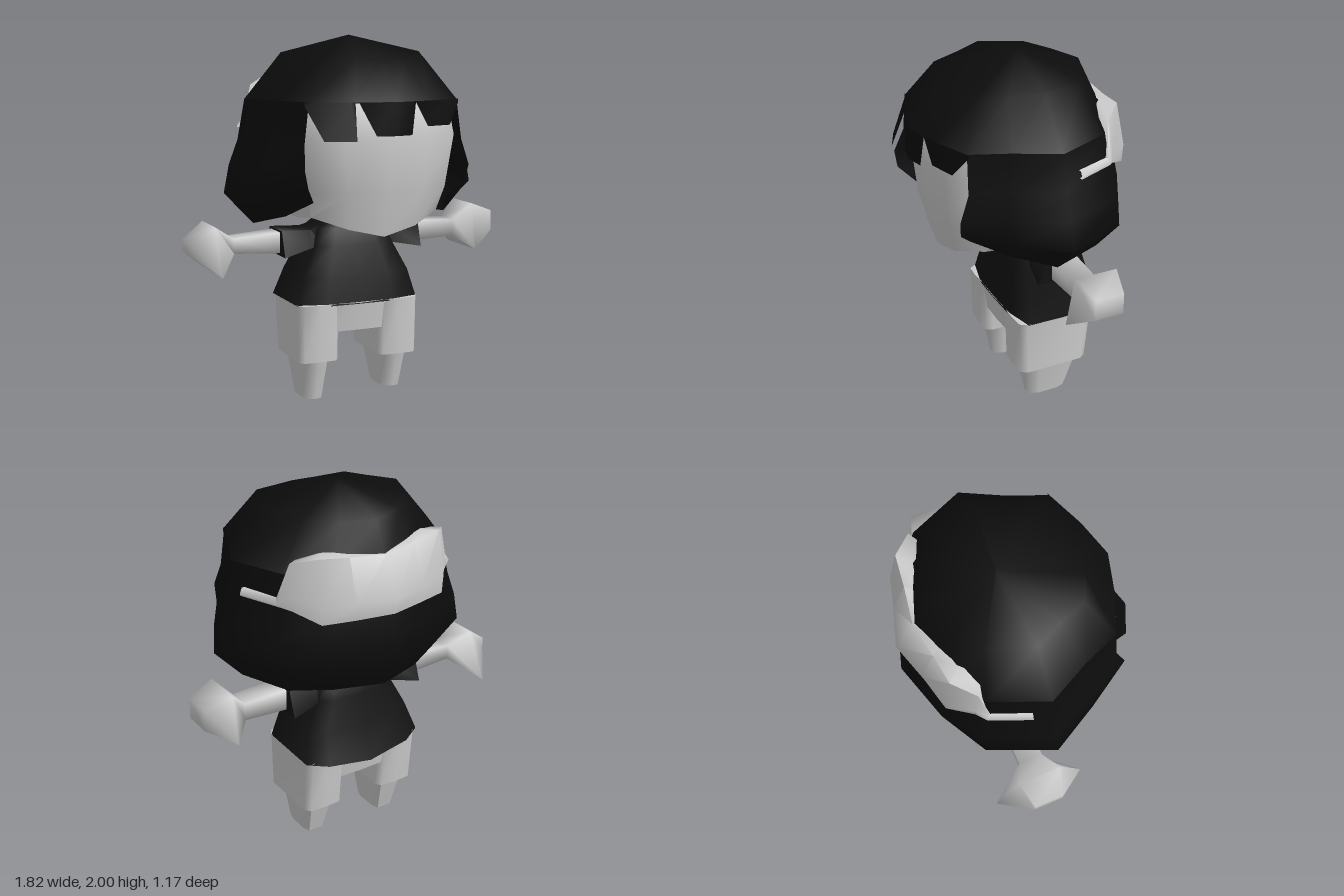
import * as THREE from 'three';
import { toCreasedNormals } from 'three/addons/utils/BufferGeometryUtils.js';

const skin = new THREE.MeshStandardMaterial({ color: 0xcccccc });
const hairMat = new THREE.MeshStandardMaterial({ color: 0x0c0c0c, side: THREE.DoubleSide });
const shirtMat = new THREE.MeshStandardMaterial({ color: 0x121212, side: THREE.DoubleSide });
const bowMat = new THREE.MeshStandardMaterial({ color: 0xcccccc, side: THREE.DoubleSide });

// Joins cross-sections into a skin; closed rings are capped at both ends
function loft(rings, { closed = true, crease = 1.0 } = {}) {
  const n = rings[0].length, pos = rings.flat(2), idx = [];
  const cols = closed ? n : n - 1;
  for (let i = 0; i < rings.length - 1; i++) {
    for (let j = 0; j < cols; j++) {
      const a = i * n + j, b = i * n + (j + 1) % n;
      idx.push(a, b, b + n, a, b + n, a + n);
    }
  }
  if (closed) {
    [0, rings.length - 1].forEach((r, end) => {
      const mid = [0, 1, 2].map(k => rings[r].reduce((s, p) => s + p[k], 0) / n);
      const c = pos.length / 3;
      pos.push(...mid);
      for (let j = 0; j < n; j++) {
        const a = r * n + j, b = r * n + (j + 1) % n;
        end ? idx.push(a, b, c) : idx.push(b, a, c);
      }
    });
  }
  const g = new THREE.BufferGeometry();
  g.setAttribute('position', new THREE.Float32BufferAttribute(pos, 3));
  g.setIndex(idx);
  return toCreasedNormals(g, crease);
}

// Mirrors a half outline (front to back) into a full horizontal ring
function ring(half, y, X, F, B, cx = 0, cz = 0) {
  const pts = half.map(([u, v], i) =>
    [u * X, Array.isArray(y) ? y[i] : y, cz + v * (v > 0 ? F : B)]);
  const other = pts.slice(1, -1).reverse().map(p => [-p[0], p[1], p[2]]);
  return [...pts, ...other].map(p => [p[0] + cx, p[1], p[2]]);
}

// Four-cornered section across an arm
const section = (x, top, bottom, zt, zb = zt, cz = -0.12) =>
  [[x, top, cz - zt], [x, top, cz + zt], [x, bottom, cz + zb], [x, bottom, cz - zb]];

export function createModel() {
  const model = new THREE.Group();
  const add = (name, geometry, material) => {
    const m = new THREE.Mesh(geometry, material);
    m.name = name;
    model.add(m);
    return m;
  };

  // Head with pointed chin
  const headHalf = [[0, 1], [0.5, 0.95], [0.92, 0.74], [1, 0.3], [0.8, -0.7], [0, -1]];
  const jawHalf = [[0, 1], [0.5, 0.95], [0.95, 0.72], [0.92, 0.2], [0.9, -0.7], [0, -1]];
  add('head', loft([
    ring(jawHalf, [0.965, 1.01, 1.07, 1.04, 1.03, 1.03], 0.38, 0.43, 0.44),
    ring(headHalf, 1.2, 0.425, 0.475, 0.45),
    ring(headHalf, 1.48, 0.47, 0.5, 0.42),
    ring(headHalf, 1.67, 0.44, 0.46, 0.38),
    ring(headHalf, 1.76, 0.3, 0.33, 0.28),
  ]), skin);
  add('neck', new THREE.CylinderGeometry(0.1, 0.11, 0.2, 8), skin).position.set(0.01, 1.02, -0.12);

  // Hair: crown over the full circle, sides and back left open at the face
  const hairHalf = [[0, 1], [0.34, 0.9], [0.68, 0.75], [0.81, 0.4], [1, 0],
    [0.8, -0.59], [0.45, -0.83], [0, -1]];
  const brow = ring(hairHalf, 1.67, 0.61, 0.57, 0.5);
  add('hairCrown', loft([
    brow,
    ring(hairHalf, [1.86, 1.87, 1.89, 1.9, 1.91, 1.9, 1.89, 1.89], 0.405, 0.41, 0.4),
    ring(hairHalf, 2, 0.002, 0.002, 0.002, 0, -0.04),
  ], { crease: 1.2 }), hairMat);
  const sides = [
    ring(hairHalf, [1, 1, 1.16, 1.07, 1.01, 1.01, 1.01, 1.01], 0.57, 0.53, 0.49),
    ring(hairHalf, [1, 1, 1.24, 1.21, 1.18, 1.18, 1.18, 1.18], 0.73, 0.64, 0.59),
    ring(hairHalf, 1.33, 0.7, 0.65, 0.58),
    ring(hairHalf, 1.46, 0.65, 0.58, 0.555),
    brow,
  ].map(r => r.slice(2, 13));
  // front edges of the side locks hug the cheeks
  for (const [row, x] of [[0, 0.38], [1, 0.44], [2, 0.46]]) {
    sides[row][0][0] = x;
    sides[row].at(-1)[0] = -x;
  }
  add('hairSides', loft(sides, { closed: false, crease: 1.2 }), hairMat);

  // Jagged fringe hanging from the brow line: x, y, z of its lower edge
  const teeth = [[-0.435, 1.65, 0.42], [-0.37, 1.48, 0.52], [-0.22, 1.48, 0.585], [-0.2, 1.665, 0.515],
    [-0.18, 1.665, 0.52], [-0.1, 1.5, 0.555], [0, 1.5, 0.575], [0.1, 1.5, 0.55], [0.125, 1.665, 0.535],
    [0.2, 1.54, 0.525], [0.35, 1.54, 0.48], [0.425, 1.65, 0.425]];
  const browZ = x => {
    const a = Math.abs(x);
    return a < 0.207 ? 0.57 - a * 0.275 : 0.513 - (a - 0.207) * 0.41;
  };
  add('fringe', loft([
    teeth,
    teeth.map(([x]) => [x, 1.67, browZ(x)]),
  ], { closed: false }), hairMat);

  // Bow across the back of the hair, with thin ribbon ends: x, z, top, bottom
  const bowHalf = [[0.62, -0.1, 1.555, 1.515], [0.535, -0.31, 1.55, 1.515], [0.475, -0.35, 1.73, 1.49],
    [0.37, -0.47, 1.765, 1.43], [0.2, -0.51, 1.745, 1.43], [0, -0.565, 1.73, 1.44]];
  const bow = [...bowHalf, ...bowHalf.slice(0, -1).reverse().map(p => [-p[0], ...p.slice(1)])];
  const bowRow = (t, s, out) => bow.map(([x, z, top, bottom]) =>
    [x * s, bottom + (top - bottom) * t, z * s - out * (1 - Math.abs(x) / 0.62)]);
  add('bow', loft([
    bowRow(0, 0.85, 0), bowRow(0, 1, 0.005), bowRow(0.28, 1, 0.025),
    bowRow(1, 0.98, -0.07), bowRow(1, 0.78, 0),
  ], { closed: false, crease: 1.2 }), bowMat);

  // Shirt: squarish at the hem, which dips at the back
  const bodyHalf = [[0, 1], [0.55, 0.98], [0.98, 0.8], [1, -0.7], [0.7, -0.92], [0, -1]];
  const body = (y, X, F, B) => ring(bodyHalf, y, X, F, B, 0.012, -0.12);
  add('shirt', loft([
    body([0.54, 0.54, 0.545, 0.545, 0.53, 0.5], 0.362, 0.23, 0.28),
    body(0.7, 0.318, 0.2, 0.2),
    body(0.86, 0.235, 0.16, 0.17),
    body(0.95, 0.205, 0.13, 0.14),
    body(1.02, 0.125, 0.09, 0.09),
  ], { crease: 1.4 }), shirtMat);
  add('leftSleeve', loft([section(0.13, 0.98, 0.82, 0.07), section(0.25, 0.95, 0.85, 0.09, 0.12),
    section(0.415, 0.975, 0.82, 0.1, 0.15)], { crease: 1.4 }), shirtMat);
  add('rightSleeve', loft([section(-0.4, 0.95, 0.81, 0.1, 0.15), section(-0.23, 0.945, 0.85, 0.09, 0.12),
    section(-0.12, 0.98, 0.82, 0.07)], { crease: 1.4 }), shirtMat);

  // Arms flowing into soft-shaded angular hands
  add('leftArm', loft([
    section(0.25, 0.94, 0.86, 0.06), section(0.41, 0.955, 0.84, 0.07), section(0.66, 0.945, 0.85, 0.065),
    section(0.755, 1.04, 0.78, 0.12, 0.165), section(0.905, 0.985, 0.87, 0.08),
  ], { crease: 1.8 }), skin);
  add('rightArm', loft([
    section(-0.91, 0.91, 0.85, 0.08), section(-0.78, 1.0, 0.75, 0.12, 0.25), section(-0.66, 0.92, 0.84, 0.065),
    section(-0.4, 0.94, 0.825, 0.07), section(-0.25, 0.94, 0.86, 0.06),
  ], { crease: 1.8 }), skin);

  // Shorts: two boxy legs joined by the hips, with lower legs below
  const cuffHalf = [[0, 1], [0.8, 0.97], [1, 0.8], [1, -0.8], [0.8, -0.97], [0, -1]];
  const legHalf = [[0, 1], [0.7, 0.9], [1, 0.45], [1, -0.6], [0.75, -1], [0, -1]];
  add('shortsHips', loft([
    ring(cuffHalf, 0.39, 0.25, 0.2, 0.2, 0.012, -0.11),
    ring(cuffHalf, 0.55, 0.25, 0.225, 0.225, 0.012, -0.115),
  ]), skin);
  for (const [side, cx, foot] of [['left', 0.248, 0.02], ['right', -0.224, 0]]) {
    add(side + 'ShortsLeg', loft([
      ring(cuffHalf, 0.23, 0.115, 0.205, 0.205, cx, -0.105),
      ring(cuffHalf, 0.55, 0.118, 0.225, 0.225, cx, -0.115),
    ]), skin);
    add(side + 'Leg', loft([
      ring(legHalf, foot, 0.056, 0.11, 0.11, cx - 0.002, -0.09),
      ring(legHalf, 0.25, 0.088, 0.17, 0.17, cx, -0.1),
    ]), skin);
  }
  return model;
}
